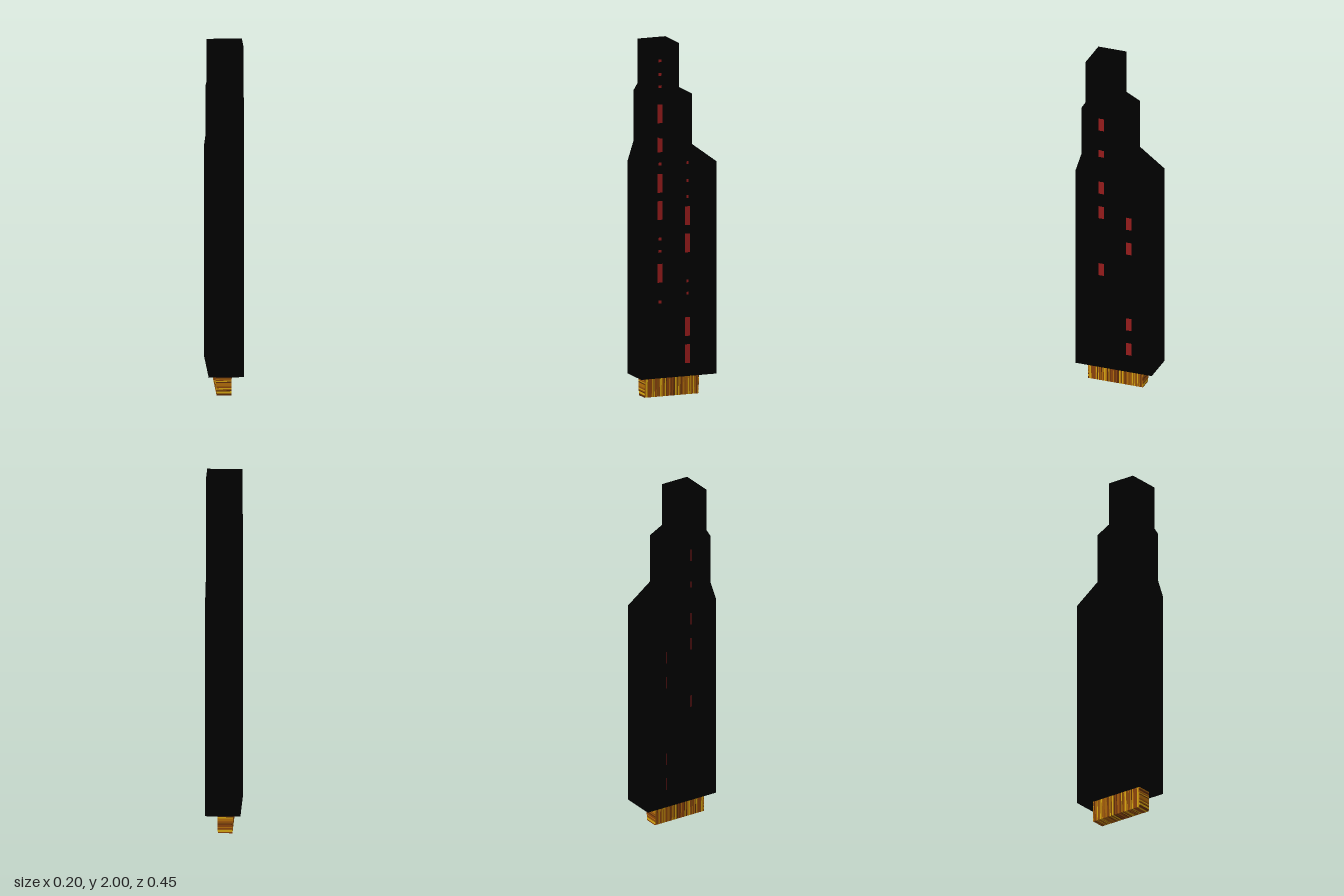
import * as THREE from 'three';
import { mergeGeometries } from 'three/addons/utils/BufferGeometryUtils.js';

const material = (name, color) => new THREE.MeshStandardMaterial({ name, color });

export function createModel() {
  const model = new THREE.Group();
  const black = material('black casing', 0x000000);
  const red = material('dark red core', 0x961b1b);
  const golds = [
    material('amber', 0xb56f0a),
    material('chestnut', 0x8c430c),
    material('gold', 0xd8a812),
    material('bronze', 0x9c5c08),
    material('dark brown', 0x5e2c08),
  ];

  const add = (geometry, mat, name) => {
    const mesh = new THREE.Mesh(geometry, mat);
    mesh.name = name;
    model.add(mesh);
    return mesh;
  };

  // Stepped side outline as [z, y]
  const points = (list) => list.map(([z, y]) => new THREE.Vector2(-z, y));
  const outline = new THREE.Shape(points([
    [0.225, 0.118], [-0.225, 0.118], [-0.225, 1.315], [-0.08, 1.423],
    [-0.08, 1.708], [0, 1.75], [0, 2], [0.165, 2],
    [0.165, 1.75], [0.19, 1.71], [0.19, 1.425], [0.225, 1.315],
  ]));

  // Window slots cut through the casing
  const cut = (list) => outline.holes.push(new THREE.Path(points(list)));
  const slots = (z, width, height, bottoms) => {
    for (const y of bottoms) {
      cut([[z - width / 2, y], [z - width / 2, y + height],
        [z + width / 2, y + height], [z + width / 2, y]]);
    }
  };
  slots(0.093, 0.056, 0.037, [1.879, 1.802, 1.733, 1.297, 0.874, 0.805, 0.519]);
  slots(0.092, 0.068, 0.127, [1.535, 1.143, 0.99, 0.636]);
  slots(-0.071, 0.053, 0.037, [1.292, 1.191, 1.101, 0.625, 0.556]);
  slots(-0.072, 0.068, 0.127, [0.948, 0.794, 0.323, 0.17]);

  // Notched slot and the narrow side slit
  cut([[0.058, 1.371], [0.126, 1.371], [0.126, 1.488], [0.112, 1.47], [0.058, 1.464]]);
  cut([[-0.042, 1.481], [-0.042, 1.501], [0.06, 1.501], [0.092, 1.489], [0.06, 1.481]]);

  const casing = new THREE.ExtrudeGeometry(outline, { depth: 0.196, bevelEnabled: false });
  casing.translate(0, 0, -0.098).rotateY(Math.PI / 2);
  add(casing, black, 'casing');

  // Thin red plates in the middle, seen through the slots
  const plate = (z0, z1, y0, y1) => {
    add(new THREE.BoxGeometry(0.008, y1 - y0, z1 - z0), red, 'corePlate')
      .position.set(0, (y0 + y1) / 2, (z0 + z1) / 2);
  };
  plate(0.05, 0.14, 0.5, 1.94);
  plate(-0.115, -0.025, 0.15, 1.345);
  plate(-0.05, 0.05, 1.475, 1.51);

  // Tapered connector: vertical strips along the sides, layers on the ends
  let seed = 7;
  const random = () => (seed = (seed * 16807) % 2147483647) / 2147483647;
  const pieces = golds.map(() => []);
  const piece = (y0, y1, z0, z1) => {
    const g = new THREE.BoxGeometry(0.088, y1 - y0, z1 - z0);
    g.translate(0, (y0 + y1) / 2, (z0 + z1) / 2);
    pieces[Math.floor(random() ** 1.25 * golds.length)].push(g);
  };
  const strips = 64, layers = 20, front = 0.177, back = -0.147, top = 0.122;
  const step = (front - back - 0.008) / strips;
  for (let i = 0; i < strips; i++) {
    const z = back + 0.004 + i * step;
    piece(0, top, z, z + step);
  }
  for (let i = 0; i < layers; i++) {
    const y0 = i * top / layers, y1 = (i + 1) * top / layers;
    piece(y0, y1, front - 0.004, front);
    piece(y0, y1, back, back + 0.004);
  }
  pieces.forEach((list, i) => {
    const g = mergeGeometries(list);
    const p = g.attributes.position;
    for (let k = 0; k < p.count; k++) {
      p.setX(k, p.getX(k) * (0.92 + 0.08 * p.getY(k) / top) - 0.011);
    }
    g.computeVertexNormals();
    add(g, golds[i], 'connectorStrips');
  });

  return model;
}
